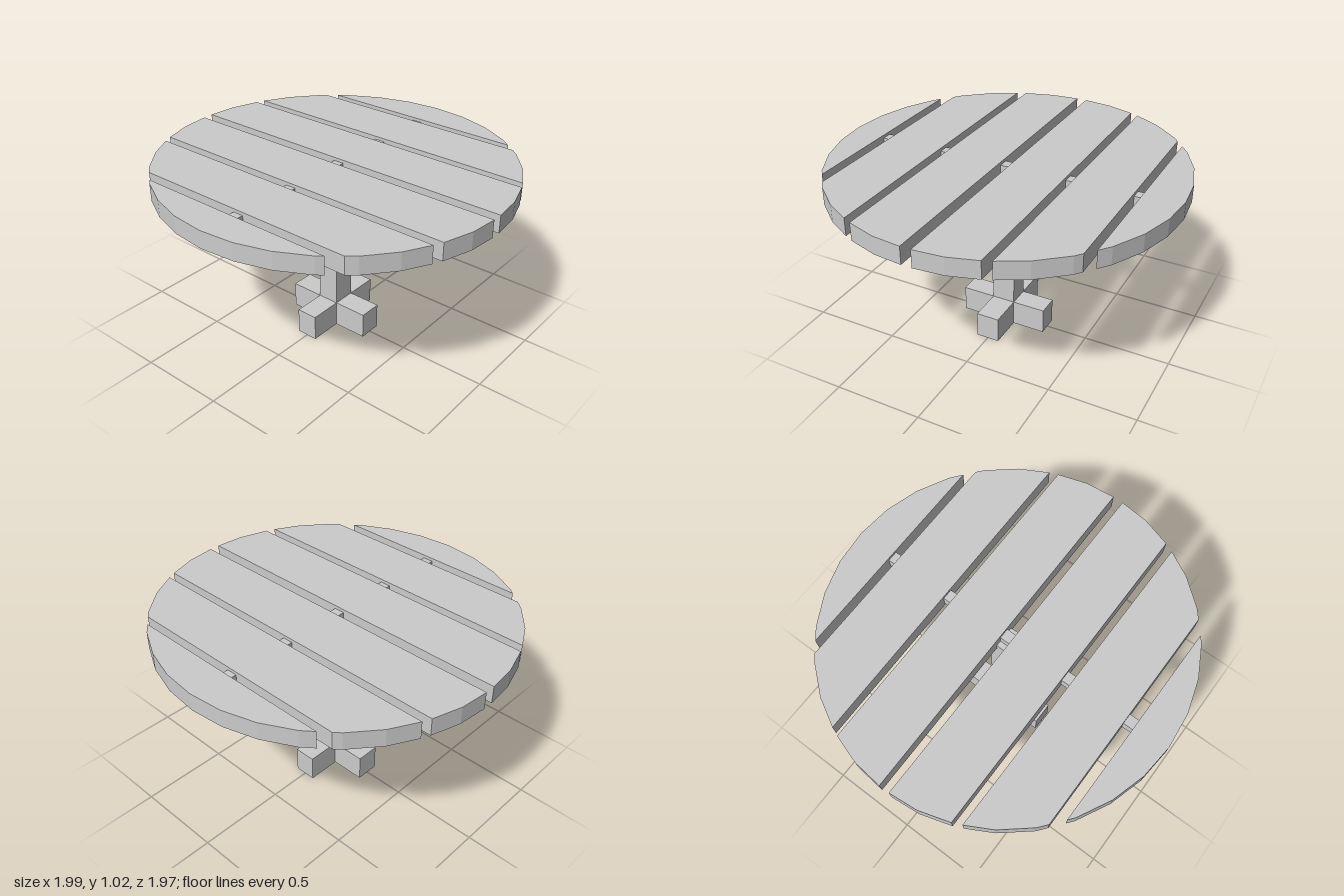
import * as THREE from 'three';

const SIDES = 32, DEPTH = 0.985;
const SLAT_BOTTOM = 0.918, SLAT_TOP = 1.018;

export function createModel() {
  const group = new THREE.Group();
  const material = new THREE.MeshStandardMaterial({ color: 0xcccccc, flatShading: true });

  function add(name, geometry, x = 0, y = 0, z = 0) {
    const mesh = new THREE.Mesh(geometry, material);
    mesh.name = name;
    mesh.position.set(x, y, z);
    group.add(mesh);
  }

  // Right half of the faceted round outline, from back to front
  const rim = [];
  for (let i = 0; i <= SIDES / 2; i++) {
    const a = (i / SIDES) * Math.PI * 2;
    rim.push({ x: Math.sin(a), z: -DEPTH * Math.cos(a) });
  }

  // Half width of the tabletop at a given depth
  function halfWidth(z) {
    const i = Math.max(1, rim.findIndex((p) => p.z >= z - 1e-9));
    const a = rim[i - 1], b = rim[i];
    return a.x + (b.x - a.x) * (z - a.z) / (b.z - a.z);
  }

  // One plank: the round outline cut between two depths
  function slat(z0, z1) {
    const right = [
      { x: halfWidth(z0), z: z0 },
      ...rim.filter((p) => p.z > z0 + 1e-6 && p.z < z1 - 1e-6),
      { x: halfWidth(z1), z: z1 },
    ];
    const left = right.filter((p) => p.x > 1e-6).reverse().map((p) => ({ x: -p.x, z: p.z }));
    const shape = new THREE.Shape([...right, ...left].map((p) => new THREE.Vector2(p.x, -p.z)));
    const geometry = new THREE.ExtrudeGeometry(shape, {
      depth: SLAT_TOP - SLAT_BOTTOM, bevelEnabled: false,
    });
    return geometry.rotateX(-Math.PI / 2);
  }

  // Tabletop planks
  const cuts = [
    [-DEPTH, -0.77], [-0.727, -0.398], [-0.352, -0.027],
    [0.032, 0.36], [0.409, 0.736], [0.791, DEPTH],
  ];
  cuts.forEach(([z0, z1], i) => add(`slat${i + 1}`, slat(z0, z1), 0, SLAT_BOTTOM, 0));

  // Rail joining the planks
  add('rail', new THREE.BoxGeometry(0.06, 0.06, 1.64), 0, 0.97, 0);

  // Central post
  add('post', new THREE.BoxGeometry(0.125, 0.81, 0.134), 0, 0.55, 0);

  // Cross-shaped foot: one bar across and two arms meeting it
  add('footBar', new THREE.BoxGeometry(0.518, 0.15, 0.134), 0, 0.075, 0);
  for (const s of [1, -1]) {
    add(s > 0 ? 'frontFoot' : 'backFoot', new THREE.BoxGeometry(0.125, 0.15, 0.191), 0, 0.075, s * 0.1625);
  }

  return group;
}
